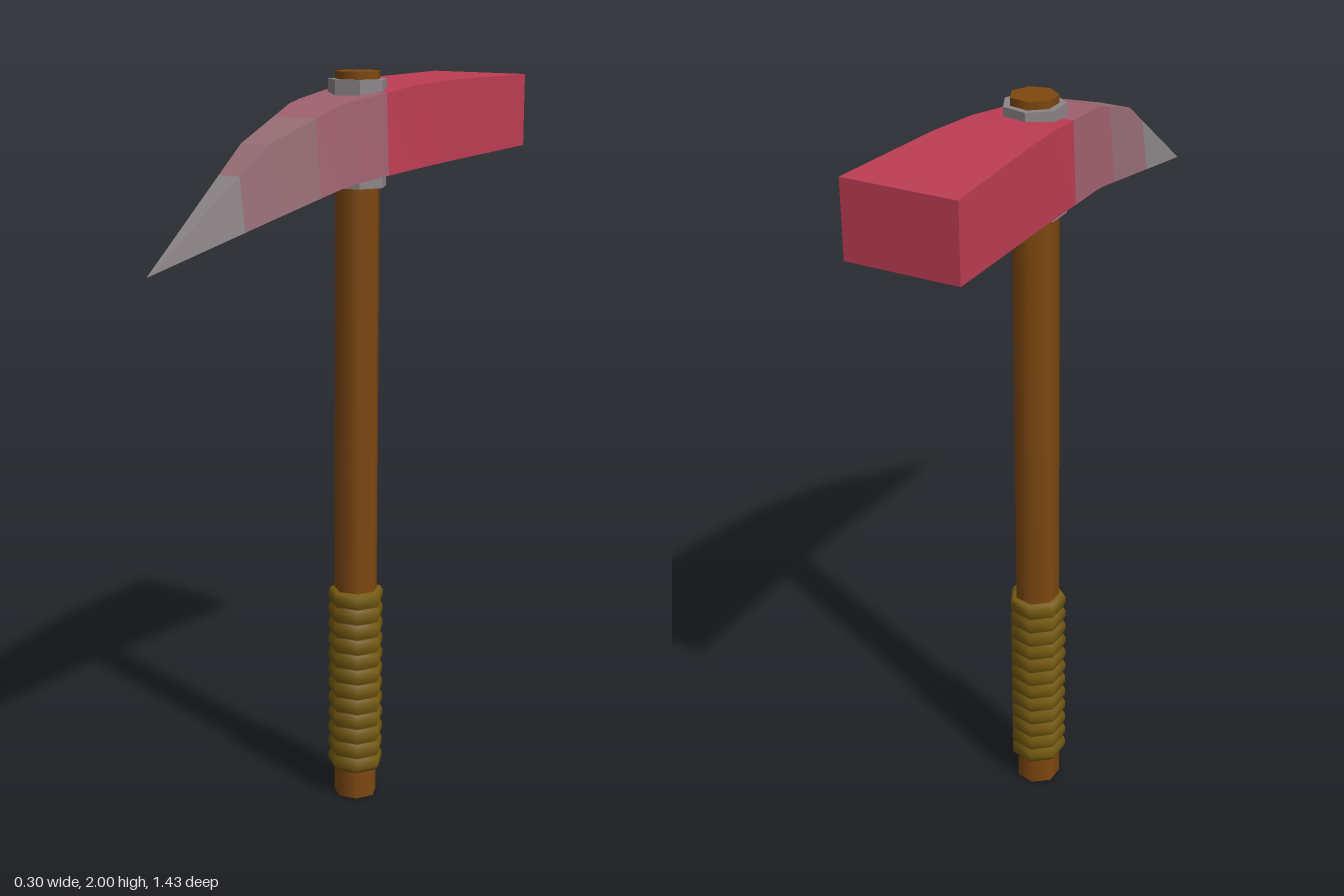
import * as THREE from 'three';

const mat = (name, color, double) => {
  const m = new THREE.MeshStandardMaterial({ color });
  m.name = name;
  return m;
};

// Head cross-sections: z, bottom y, top y, bottom half width, top half width
const STATIONS = [
  [-0.72, 1.775, 1.97, 0.148, 0.148],
  [-0.375, 1.757, 1.969, 0.125, 0.124],
  [-0.225, 1.748, 1.962, 0.115, 0.111],
  [0.02, 1.73, 1.933, 0.096, 0.084],
  [0.07, 1.722, 1.925, 0.09, 0.076],
  [0.31, 1.67, 1.845, 0.062, 0.042],
  [0.71, 1.575, 1.576, 0.001, 0.001],
];

// Cross-section at any z, interpolated between stations
function sectionAt(z) {
  let i = 0;
  while (i < STATIONS.length - 2 && z > STATIONS[i + 1][0]) i++;
  const a = STATIONS[i], b = STATIONS[i + 1];
  const t = (z - a[0]) / (b[0] - a[0]);
  return a.map((v, k) => v + (b[k] - v) * t);
}

const corners = ([z, yb, yt, wb, wt]) => [
  [-wb, yb, z], [wb, yb, z], [wt, yt, z], [-wt, yt, z],
];

// Faceted slice of the head from z0 to z1, closed at both ends
function headSlice(z0, z1) {
  const inner = STATIONS.map((s) => s[0]).filter((z) => z > z0 && z < z1);
  const rings = [z0, ...inner, z1].map((z) => corners(sectionAt(z)));
  const pos = [];
  const quad = (a, b, c, d) => pos.push(...a, ...b, ...c, ...a, ...c, ...d);
  for (let i = 0; i < rings.length - 1; i++) {
    const r = rings[i], n = rings[i + 1];
    for (let k = 0; k < 4; k++) {
      const j = (k + 1) % 4;
      quad(r[k], r[j], n[j], n[k]);
    }
  }
  const f = rings[0], l = rings[rings.length - 1];
  quad(f[3], f[2], f[1], f[0]);
  quad(l[0], l[1], l[2], l[3]);
  const g = new THREE.BufferGeometry();
  g.setAttribute('position', new THREE.Float32BufferAttribute(pos, 3));
  g.computeVertexNormals();
  return g;
}

export function createModel() {
  const group = new THREE.Group();
  group.name = 'pickaxe';
  const SIDES = 7, AXIS_Z = -0.122;

  const add = (name, geometry, material, y = 0, z = 0) => {
    const mesh = new THREE.Mesh(geometry, material);
    mesh.name = name;
    mesh.position.set(0, y, z);
    group.add(mesh);
    return mesh;
  };

  const wood = mat('wood', 0x7f4810);
  const leather = mat('grip', 0x755a10);
  const steel = mat('steel', 0x8c8587);
  const red = mat('red paint', 0xbd3d53);
  const worn = mat('worn paint', 0xa16270);
  const scraped = mat('scraped paint', 0x976e76);

  // Seven-sided shaft
  add('shaft', new THREE.CylinderGeometry(0.06, 0.06, 2, SIDES, 1, false, Math.PI / 2), wood, 1, AXIS_Z);

  // Collar through the head
  const collar = new THREE.CylinderGeometry(0.078, 0.078, 0.275, SIDES, 1, false, Math.PI / 2).toNonIndexed();
  collar.computeVertexNormals();
  add('collar', collar, steel, 1.8425, AXIS_Z);

  // Ridged grip
  const ridges = 12, y0 = 0.08, y1 = 0.605, step = (y1 - y0) / ridges;
  const profile = [new THREE.Vector2(0.05, y0)];
  for (let i = 0; i < ridges; i++) {
    const y = y0 + i * step;
    profile.push(
      new THREE.Vector2(0.071, y + step * 0.04),
      new THREE.Vector2(0.077, y + step * 0.3),
      new THREE.Vector2(0.077, y + step * 0.7),
      new THREE.Vector2(0.071, y + step * 0.96),
    );
  }
  profile.push(new THREE.Vector2(0.05, y1));
  add('grip', new THREE.LatheGeometry(profile, SIDES, Math.PI / 2), leather, 0, AXIS_Z);

  // Head, painted at the back and wearing to bare steel at the point
  add('headBack', headSlice(-0.72, -0.11), red);
  add('headMiddle', headSlice(-0.11, 0.15), worn);
  add('headFront', headSlice(0.15, 0.41), scraped);
  add('headPoint', headSlice(0.41, 0.71), steel);

  return group;
}
